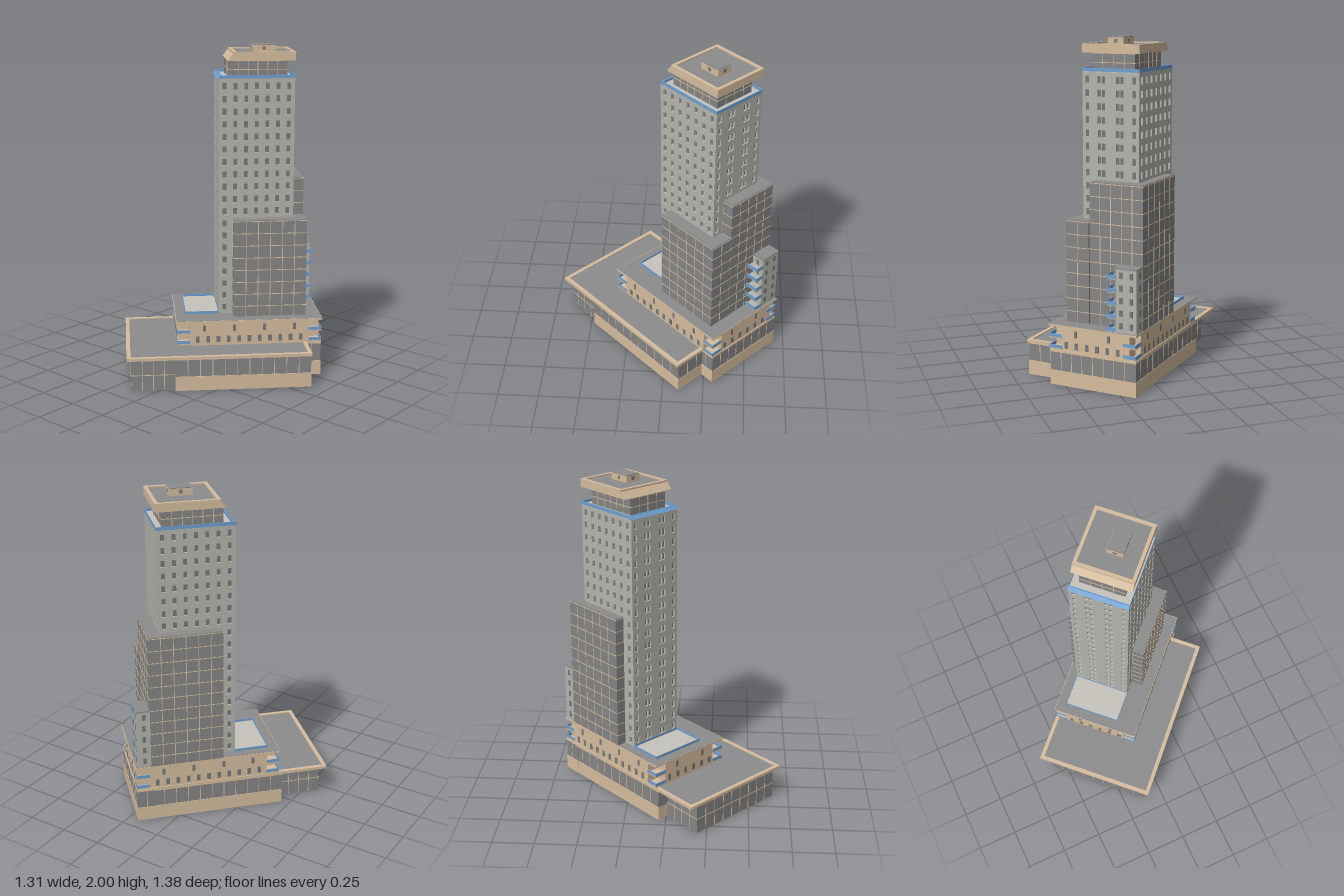
import * as THREE from 'three';
import { mergeGeometries } from 'three/addons/utils/BufferGeometryUtils.js';

const mat = (color) => new THREE.MeshStandardMaterial({ color, flatShading: true });
const M = {
  concrete: mat(0xb4b5ad), window: mat(0x777979), glass: mat(0x858585), tan: mat(0xd6bd9e),
  blue: mat(0x6f9fd0), roof: mat(0x8c8c8c), court: mat(0xc6c3bc),
};

// Local frame: x runs along the long side, z along the short side.
function boxGeo([x0, x1, y0, y1, z0, z1]) {
  const g = new THREE.BoxGeometry(x1 - x0, y1 - y0, z1 - z0);
  return g.translate((x0 + x1) / 2, (y0 + y1) / 2, (z0 + z1) / 2);
}

const polygon = (pts) => pts.map(([x, y]) => new THREE.Vector2(x, y));
const rect = (x0, x1, y0, y1) => polygon([[x0, y0], [x1, y0], [x1, y1], [x0, y1]]);

// Wall sheet in the xy plane with window openings cut through it
function piercedWall(x0, x1, y0, y1, depth, centres, sills, w, h) {
  const shape = new THREE.Shape(rect(x0, x1, y0, y1));
  for (const y of sills) for (const x of centres) {
    shape.holes.push(new THREE.Path(rect(x - w / 2, x + w / 2, y, y + h)));
  }
  return new THREE.ExtrudeGeometry(shape, { depth, bevelEnabled: false });
}

export function createModel() {
  const root = new THREE.Group();
  root.name = 'towerBuilding';
  const site = new THREE.Group();
  site.name = 'site';
  site.rotation.y = THREE.MathUtils.degToRad(45.5);
  root.add(site);

  const addGeo = (name, material, geo) => {
    const mesh = new THREE.Mesh(geo, material);
    mesh.name = name;
    site.add(mesh);
  };
  const add = (name, material, ...boxes) => addGeo(name, material, mergeGeometries(boxes.map(boxGeo)));
  // Profile in x and y, carried from z0 to z1
  const prism = (name, material, pts, z0, z1) => addGeo(name, material, new THREE.ExtrudeGeometry(
    new THREE.Shape(polygon(pts)), { depth: z1 - z0, bevelEnabled: false }).translate(0, 0, z0));

  // Rectangular ring of four bars, t wide
  const frame = (name, material, [x0, x1, y0, y1, z0, z1], t) => add(name, material,
    [x0, x1, y0, y1, z0, z0 + t], [x0, x1, y0, y1, z1 - t, z1],
    [x0, x0 + t, y0, y1, z0 + t, z1 - t], [x1 - t, x1, y0, y1, z0 + t, z1 - t]);

  // Glazed block with floor bands and mullions standing slightly proud
  const glazed = (name, b, floor, bay = 0.072) => {
    const [x0, x1, y0, y1, z0, z1] = b, e = 0.002, w = 0.002;
    add(name, M.glass, b);
    const bars = [];
    const rows = Math.round((y1 - y0) / floor);
    for (let i = 1; i <= rows; i++) {
      const y = y0 + (y1 - y0) * i / rows - 0.005;
      bars.push([x0 - e, x1 + e, y - w, y + w, z0 - e, z1 + e]);
    }
    const nx = Math.round((x1 - x0) / bay), nz = Math.round((z1 - z0) / bay);
    for (let i = 1; i < nx; i++) {
      const x = x0 + (x1 - x0) * i / nx;
      bars.push([x - w, x + w, y0 + 0.001, y1 - 0.001, z0 - e, z1 + e]);
    }
    for (let i = 1; i < nz; i++) {
      const z = z0 + (z1 - z0) * i / nz;
      bars.push([x0 - e, x1 + e, y0 + 0.001, y1 - 0.001, z - w, z + w]);
    }
    add(name + 'Mullions', M.tan, ...bars);
  };

  // Rows of windows showing on all four faces of a block
  const windows = (name, [x0, x1, z0, z1], ys, h, xs, zs, w) => {
    const e = 0.002, list = [];
    for (const y of ys) {
      for (const x of xs) list.push([x - w / 2, x + w / 2, y, y + h, z0 - e, z1 + e]);
      for (const z of zs) list.push([x0 - e, x1 + e, y, y + h, z - w / 2, z + w / 2]);
    }
    add(name, M.window, ...list);
  };
  const spread = (a, b, n) => Array.from({ length: n }, (_, i) => a + (b - a) * i / (n - 1));

  // Lower podium: recessed glazed front, then a block on a solid base
  glazed('podiumFrontGlass', [-0.547, -0.285, 0.002, 0.2, -0.28, 0.368], 0.1);
  glazed('podiumGlass', [-0.285, 0.524, 0.09, 0.2, -0.35, 0.39], 0.11);
  glazed('podiumBackGlass', [0.5, 0.614, 0.09, 0.21, -0.352, 0.192], 0.12);
  add('podiumBase', M.tan, [-0.285, 0.526, 0.002, 0.09, -0.353, 0.394], [0.5, 0.617, 0.002, 0.09, -0.355, 0.196]);
  add('podiumUnderside', M.roof, [-0.545, 0.522, 0, 0.003, -0.28, 0.366], [-0.28, 0.614, 0, 0.003, -0.352, 0.192]);
  add('podiumRoof', M.roof, [-0.565, 0.52, 0.2, 0.21, -0.345, 0.395]);
  frame('podiumRoofRim', M.tan, [-0.573, 0.528, 0.198, 0.216, -0.353, 0.403], 0.024);
  add('podiumBackRoof', M.tan, [0.5, 0.617, 0.2, 0.214, -0.355, 0.196]);

  // Middle podium with notched corners
  const mx0 = -0.262, mx1 = 0.612, mz0 = -0.348, mz1 = 0.195, n = 0.075;
  add('middlePodium', M.tan,
    [mx0, 0.3, 0.21, 0.355, mz0 + n, mz1 - n], [0.3, mx1, 0.21, 0.355, mz0 + 0.035, mz1 - n],
    [mx0 + n, mx1 - n, 0.21, 0.355, mz0, mz1]);
  const faces = [mx0, mx1, mz0, mz1];
  windows('middleWindowsLower', faces, [0.228], 0.04, spread(-0.14, 0.49, 11), spread(-0.24, 0.09, 6), 0.022);
  windows('middleWindowsUpper', faces, [0.298], 0.04, spread(-0.1, 0.45, 4), spread(-0.18, 0.03, 2), 0.018);
  add('middleRoof', M.roof, [-0.267, 0.617, 0.358, 0.366, -0.353, 0.198]);
  frame('middleRoofEdge', M.tan, [-0.27, 0.62, 0.354, 0.365, -0.356, 0.201], 0.012);

  // Corner balconies, two levels each
  const floors = [], rails = [];
  for (const sx of [0, 1]) for (const sz of [0, 1]) for (const y of [0.216, 0.283]) {
    const x0 = sx ? mx1 - n : mx0 - 0.004, x1 = sx ? mx1 + 0.004 : mx0 + n;
    const z0 = sz ? mz1 - n : mz0 - 0.004, z1 = sz ? mz1 + 0.004 : mz0 + n;
    const xe = sx ? x1 - 0.003 : x0, ze = sz ? z1 - 0.003 : z0;
    floors.push([x0, x1, y, y + 0.007, z0, z1]);
    rails.push([xe, xe + 0.003, y + 0.007, y + 0.027, z0, z1], [x0, x1, y + 0.007, y + 0.027, ze, ze + 0.003]);
  }
  add('cornerBalconyFloors', M.tan, ...floors);
  add('cornerBalconyRails', M.blue, ...rails);

  // Terrace in front of the tower
  add('terraceFloor', M.court, [-0.205, 0, 0.36, 0.368, -0.295, 0.057]);
  frame('terraceRail', M.blue, [-0.207, 0.002, 0.362, 0.382, -0.298, 0.06], 0.003);

  // Main tower: pierced walls around a dark core
  const tx0 = 0, tx1 = 0.453, tz0 = -0.295, tz1 = 0.057, t = 0.012;
  const sills = spread(0.385, 1.745, 19), cols = spread(0.035, 0.418, 7);
  const sideCols = [-0.265, -0.19, -0.163, -0.075, -0.048, 0.027].map((z) => -z);
  const longWall = (z) => piercedWall(tx0, tx1, 0.36, 1.81, t, cols, sills, 0.024, 0.04).translate(0, 0, z);
  const shortWall = (x) => piercedWall(t - tz1, -tz0 - t, 0.36, 1.81, t, sideCols, sills, 0.02, 0.04)
    .rotateY(Math.PI / 2).translate(x, 0, 0);
  add('towerWindows', M.window, [tx0 + t, tx1 - t, 0.36, 1.808, tz0 + t, tz1 - t]);
  addGeo('towerWalls', M.concrete, mergeGeometries(
    [longWall(tz0), longWall(tz1 - t), shortWall(tx0), shortWall(tx1 - t)]));
  add('towerTerrace', M.court, [tx0, tx1, 1.806, 1.814, tz0, tz1]);
  frame('towerParapet', M.blue, [tx0 + 0.01, tx1 + 0.001, 1.81, 1.83, tz0 - 0.001, tz1 + 0.001], 0.003);
  prism('towerFrontParapet', M.blue, [[-0.008, 1.808], [0.018, 1.808], [0.018, 1.83], [0.012, 1.83]], tz0 - 0.001, tz1 + 0.001);

  // Glazed wings on the tower's two long sides
  glazed('lowWing', [0.085, 0.528, 0.36, 0.966, -0.015, 0.13], 0.075);
  add('lowWingRoof', M.roof, [0.09, 0.523, 0.95, 0.968, -0.01, 0.125]);
  glazed('highWing', [0.085, 0.526, 0.36, 1.196, -0.354, -0.02], 0.075);
  add('highWingRoof', M.roof, [0.09, 0.521, 1.19, 1.198, -0.349, -0.025]);

  // Stair block with stacked balconies
  add('stairBlock', M.concrete, [0.52, 0.607, 0.36, 0.735, -0.352, -0.222]);
  add('stairBlockRoof', M.roof, [0.52, 0.61, 0.733, 0.741, -0.355, -0.219]);
  windows('stairBlockWindows', [0.53, 0.607, -0.352, -0.222], spread(0.39, 0.68, 5), 0.036,
    [0.563], [-0.32, -0.255], 0.02);
  const decks = [], guards = [];
  for (let i = 0; i < 5; i++) {
    const y = 0.366 + i * 0.076;
    decks.push([0.52, 0.608, y, y + 0.007, -0.222, -0.17]);
    guards.push([0.606, 0.609, y + 0.005, y + 0.028, -0.222, -0.168],
      [0.52, 0.609, y + 0.005, y + 0.028, -0.171, -0.168]);
  }
  add('stairBalconyFloors', M.concrete, ...decks);
  add('stairBalconyRails', M.blue, ...guards);

  // Penthouse with an overhanging roof, raked on the front side
  glazed('penthouse', [0.06, 0.412, 1.812, 1.915, -0.25, 0.015], 0.05, 0.06);
  prism('crownRoof', M.tan, [[0.055, 1.914], [0.456, 1.914], [0.456, 1.953], [0.083, 1.953]], -0.297, 0.058);
  add('crownDeck', M.roof, [0.1, 0.441, 1.95, 1.956, -0.282, 0.043]);
  frame('crownRim', M.tan, [0.086, 0.456, 1.95, 1.964, -0.297, 0.058], 0.02);
  add('roofHut', M.tan, [0.212, 0.348, 1.95, 1.995, -0.148, -0.05]);
  add('roofHutTop', M.roof, [0.214, 0.346, 1.99, 2.0, -0.146, -0.052]);
  add('roofHutWindows', M.window, [0.211, 0.349, 1.968, 1.988, -0.11, -0.09], [0.27, 0.29, 1.968, 1.988, -0.149, -0.049]);

  return root;
}
